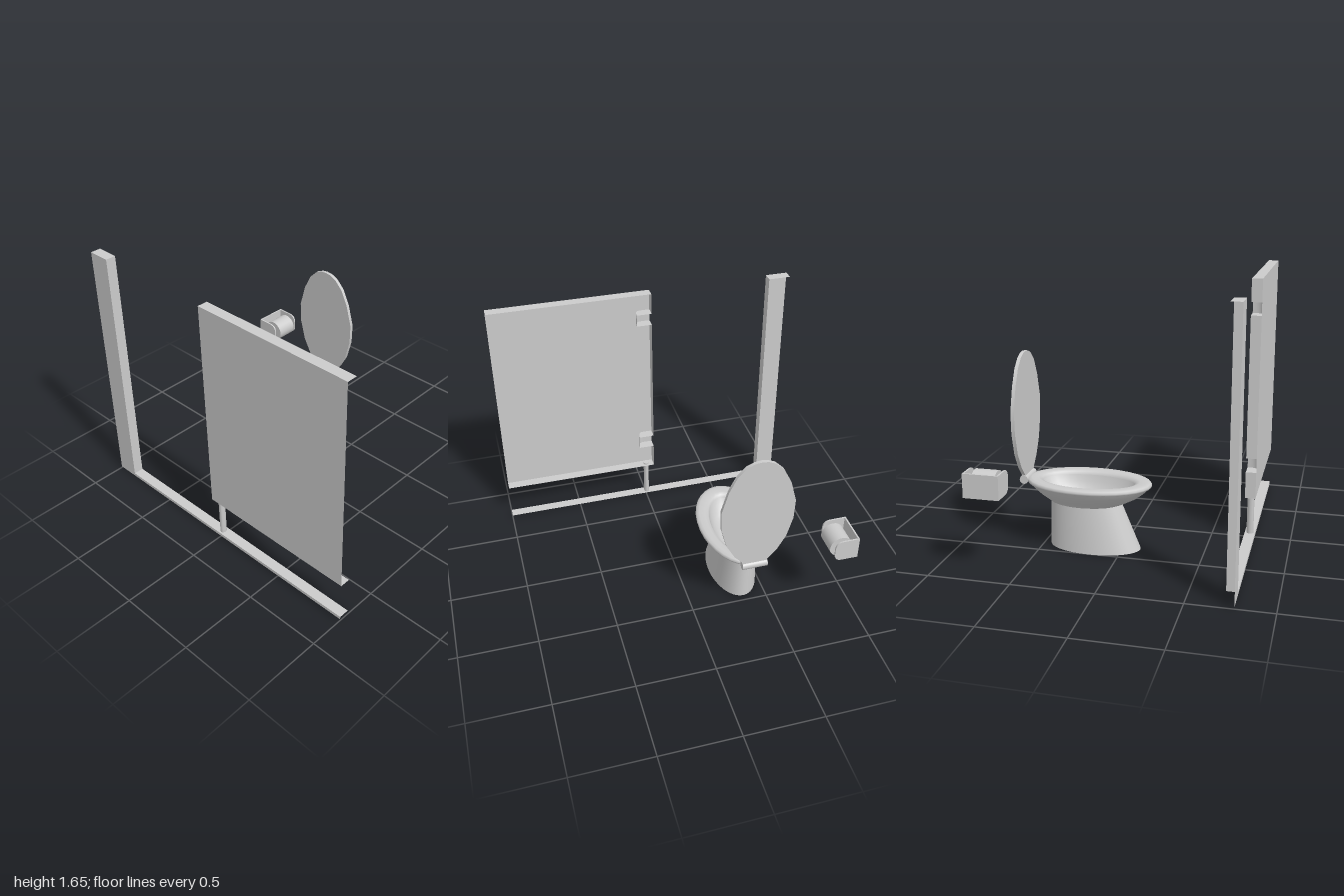
import * as THREE from 'three';
import { toCreasedNormals } from 'three/addons/utils/BufferGeometryUtils.js';

const grey = new THREE.MeshStandardMaterial({ color: 0xcccccc, side: THREE.DoubleSide });

function add(parent, name, geometry, x = 0, y = 0, z = 0) {
  const mesh = new THREE.Mesh(geometry, grey);
  mesh.name = name;
  mesh.position.set(x, y, z);
  parent.add(mesh);
  return mesh;
}

function group(parent, name) {
  const g = new THREE.Group();
  g.name = name;
  parent.add(g);
  return g;
}

// Single-skin rectangles, facing +z, -x/+x and up/down
function sheetZ(parent, name, x0, x1, y0, y1, z) {
  add(parent, name, new THREE.PlaneGeometry(x1 - x0, y1 - y0), (x0 + x1) / 2, (y0 + y1) / 2, z);
}
function sheetX(parent, name, x, y0, y1, z0, z1, facing) {
  const geo = new THREE.PlaneGeometry(z1 - z0, y1 - y0).rotateY(facing * Math.PI / 2);
  add(parent, name, geo, x, (y0 + y1) / 2, (z0 + z1) / 2);
}
function sheetY(parent, name, x0, x1, y, z0, z1, facing) {
  const geo = new THREE.PlaneGeometry(x1 - x0, z1 - z0).rotateX(-facing * Math.PI / 2);
  add(parent, name, geo, (x0 + x1) / 2, y, (z0 + z1) / 2);
}

// Skin over stacked ellipses, each given as [y, centreZ, halfX, halfZ]
function loft(rings, sides = 32) {
  const pos = [], index = [];
  for (const [y, cz, hx, hz] of rings) {
    for (let j = 0; j < sides; j++) {
      const a = (j / sides) * Math.PI * 2;
      pos.push(hx * Math.cos(a), y, cz + hz * Math.sin(a));
    }
  }
  for (let i = 0; i < rings.length - 1; i++) {
    for (let j = 0; j < sides; j++) {
      const k = (j + 1) % sides;
      const a = i * sides + j, b = i * sides + k, c = a + sides, d = b + sides;
      index.push(a, c, b, b, c, d);
    }
  }
  const geo = new THREE.BufferGeometry();
  geo.setAttribute('position', new THREE.Float32BufferAttribute(pos, 3));
  geo.setIndex(index);
  geo.computeVertexNormals();
  return geo;
}

function buildStall(root) {
  const stall = group(root, 'stallFront');
  const back = 0.71, front = 0.775;

  // Post and floor rail, open at the back
  const post = group(stall, 'post');
  sheetZ(post, 'postFront', -1, -0.855, 0.01, 1.65, front);
  sheetX(post, 'postSide', -0.855, 0.03, 1.65, back, front, 1);
  sheetY(post, 'postTop', -1, -0.855, 1.65, back, front, 1);
  const rail = group(stall, 'floorRail');
  sheetZ(rail, 'railFront', -0.855, 1, 0.01, 0.03, front);
  sheetY(rail, 'railTop', -0.855, 1, 0.03, back, front, 1);

  // Door panel: a shallow tray whose edge is broken by two hinge recesses
  const panel = group(stall, 'panel');
  const x0 = -0.055, bottom = 0.28, top = 1.65;
  const recesses = [[0.45, 0.54], [1.43, 1.51]];
  sheetZ(panel, 'panelFront', x0, 1, bottom, top, front);
  sheetY(panel, 'panelTop', x0, 1, top, back, front, 1);
  sheetY(panel, 'panelBottom', x0, 1, bottom, back, front, -1);
  let y = bottom;
  for (const [r0, r1] of [...recesses, [top, top]]) {
    sheetX(panel, 'panelEdge', x0, y, r0, back, front, -1);
    y = r1;
  }
  // Recess pockets with a rounded inner wall
  for (const [r0, r1] of recesses) {
    const outline = new THREE.Shape();
    outline.moveTo(x0, -front);
    outline.lineTo(0.01, -front);
    outline.quadraticCurveTo(0.045, -front, 0.045, -back);
    outline.lineTo(x0, -back);
    const cap = new THREE.ShapeGeometry(outline, 6).rotateX(-Math.PI / 2);
    add(panel, 'recessTop', cap, 0, r1, 0);
    add(panel, 'recessBottom', cap, 0, r0, 0);
    const wall = new THREE.PlaneGeometry(1, r1 - r0, 6, 1);
    const p = wall.attributes.position;
    const curve = new THREE.QuadraticBezierCurve(
      new THREE.Vector2(0.01, front), new THREE.Vector2(0.045, front), new THREE.Vector2(0.045, back));
    for (let i = 0; i < p.count; i++) {
      const q = curve.getPoint(p.getX(i) + 0.5);
      p.setXYZ(i, q.x, p.getY(i), q.y);
    }
    wall.computeVertexNormals();
    add(panel, 'recessWall', wall, 0, (r0 + r1) / 2, 0);
  }

  // Leg under the panel
  const leg = new THREE.CylinderGeometry(0.02, 0.02, 0.26, 8).scale(0.9, 1, 1.1);
  add(stall, 'panelLeg', leg, -0.003, 0.16, 0.743);
}

function buildToilet(root) {
  const toilet = group(root, 'toilet');
  toilet.position.x = -0.355;

  add(toilet, 'pedestal', loft([[0.002, -0.175, 0.15, 0.285], [0.29, -0.232, 0.13, 0.222]]));
  add(toilet, 'pedestalBase', loft([[0.002, -0.175, 0, 0], [0.002, -0.175, 0.15, 0.285]]));
  add(toilet, 'bowlOutside', loft([
    [0.29, -0.232, 0.13, 0.222], [0.305, -0.225, 0.14, 0.252], [0.335, -0.217, 0.17, 0.302],
    [0.375, -0.212, 0.203, 0.35], [0.405, -0.212, 0.22, 0.378],
  ]));
  add(toilet, 'seat', loft([
    [0.405, -0.212, 0.215, 0.373], [0.408, -0.212, 0.229, 0.388], [0.42, -0.212, 0.232, 0.392],
    [0.431, -0.212, 0.225, 0.383], [0.436, -0.212, 0.207, 0.363], [0.435, -0.215, 0.172, 0.32],
    [0.427, -0.216, 0.152, 0.297], [0.41, -0.217, 0.145, 0.289],
  ]));
  add(toilet, 'bowlInside', loft([
    [0.41, -0.217, 0.145, 0.289], [0.37, -0.217, 0.134, 0.265], [0.32, -0.217, 0.112, 0.22],
    [0.28, -0.217, 0.075, 0.15], [0.265, -0.217, 0, 0],
  ]));

  // Raised lid with a narrow tab at its foot
  const half = [
    [0.077, 0.425], [0.077, 0.455], [0.135, 0.52], [0.19, 0.62], [0.226, 0.755], [0.23, 0.89],
    [0.19, 1.035], [0.14, 1.135], [0.085, 1.19], [0.04, 1.21],
  ];
  const outline = [...half, [0, 1.215], ...half.map(([x, y]) => [-x, y]).reverse()];
  const lid = new THREE.ExtrudeGeometry(
    new THREE.Shape(outline.map(([x, y]) => new THREE.Vector2(x, y))),
    { depth: 0.022, bevelEnabled: false });
  add(toilet, 'lid', toCreasedNormals(lid, 0.6), 0, 0, -0.62);

  const hinge = new THREE.CylinderGeometry(0.027, 0.027, 0.16, 16).rotateZ(Math.PI / 2);
  add(toilet, 'lidHinge', hinge, 0, 0.424, -0.607);
}

function buildPaperHolder(root) {
  const holder = group(root, 'paperHolder');
  holder.position.set(-0.86, 0.555, -0.668);

  add(holder, 'backPlate', new THREE.BoxGeometry(0.01, 0.145, 0.215), -0.095, 0, 0);

  // Side arms with rounded front corners
  const arm = new THREE.Shape();
  arm.moveTo(-0.1, -0.072);
  arm.lineTo(0, -0.072);
  arm.quadraticCurveTo(0.052, -0.072, 0.052, -0.02);
  arm.lineTo(0.052, 0.02);
  arm.quadraticCurveTo(0.052, 0.072, 0, 0.072);
  arm.lineTo(-0.1, 0.072);
  const armGeo = toCreasedNormals(new THREE.ExtrudeGeometry(arm,
    { depth: 0.01, bevelEnabled: false, curveSegments: 6 }), 0.6);
  for (const z of [-0.1075, 0.0975]) add(holder, 'sideArm', armGeo, 0, 0, z);

  const pin = new THREE.CylinderGeometry(0.023, 0.023, 0.2, 16).rotateX(Math.PI / 2);
  add(holder, 'spindle', pin);
  const roll = new THREE.CylinderGeometry(0.071, 0.071, 0.14, 24).rotateX(Math.PI / 2);
  add(holder, 'paperRoll', roll);
}

export function createModel() {
  const root = new THREE.Group();
  root.name = 'toiletStall';
  buildStall(root);
  buildToilet(root);
  buildPaperHolder(root);
  return root;
}
